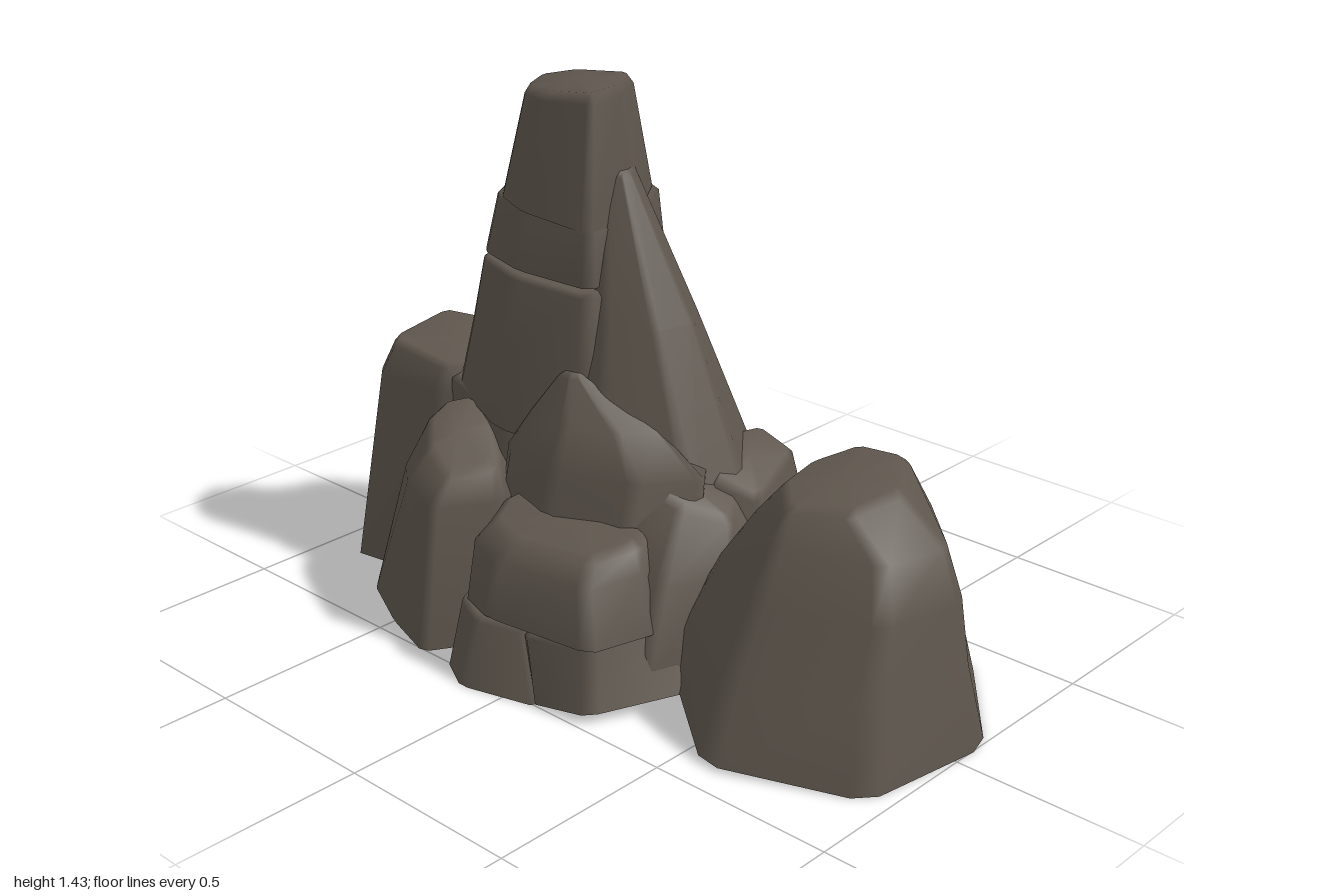
import * as THREE from 'three';

const stone = new THREE.MeshStandardMaterial({ color: 0x5e564d });
stone.name = 'brownGreyStone';

const centre = (pts) => {
  const c = [0, 0, 0];
  pts.forEach((p) => p.forEach((v, k) => { c[k] += v / pts.length; }));
  return c;
};

// Shrink a ring towards its centre and lift it
const insetRing = (pts, f, lift) => {
  const c = centre(pts);
  return pts.map(([x, y, z]) => [c[0] + (x - c[0]) * f, y + lift, c[2] + (z - c[2]) * f]);
};

// Cut every corner of a ring so that the rock has worn edges
function chamfer(pts, f = 0.1) {
  const n = pts.length, out = [];
  pts.forEach((p, i) => {
    for (const q of [pts[(i + n - 1) % n], pts[(i + 1) % n]]) {
      out.push(p.map((v, k) => v + (q[k] - v) * f));
    }
  });
  return out;
}

// Loft a rock through rings [y, tiltX, tiltZ, [[x, z], ...]], listed left, back, right, front.
// A crown of the given height closes the top; no ring goes below the ground.
function rock(name, rings, crown = 0.025, inset = 0.86) {
  const loops = rings.map(([y, tx, tz, pts]) => {
    const c = centre(pts);
    return chamfer(pts.map(([x, z]) => [
      x, Math.max(0, y + tx * (x - c[0]) + tz * (z - c[1])), z]));
  });
  loops.unshift(insetRing(loops[0], 0.95, 0));
  loops.push(insetRing(loops[loops.length - 1], inset, crown));

  const n = loops[0].length, pos = [], index = [];
  loops.forEach((l) => l.forEach((p) => pos.push(...p)));
  for (let r = 0; r < loops.length - 1; r++) {
    for (let i = 0; i < n; i++) {
      const a = r * n + i, b = r * n + (i + 1) % n;
      index.push(a, a + n, b, b, a + n, b + n);
    }
  }
  const low = pos.length / 3, high = low + 1, last = (loops.length - 1) * n;
  pos.push(...centre(loops[0]), ...centre(loops[loops.length - 1]));
  for (let i = 0; i < n; i++) {
    const j = (i + 1) % n;
    index.push(low, i, j, high, last + j, last + i);
  }
  const geo = new THREE.BufferGeometry();
  geo.setAttribute('position', new THREE.Float32BufferAttribute(pos, 3));
  geo.setIndex(index);
  geo.computeVertexNormals();
  const mesh = new THREE.Mesh(geo, stone);
  mesh.name = name;
  return mesh;
}

export function createModel() {
  const g = new THREE.Group();
  g.name = 'rockFormation';
  g.add(
    // Stacked tower
    rock('towerBase', [
      [0.015, 0, 0, [[-0.68, -0.24], [-0.57, -0.51], [-0.15, -0.56], [-0.02, -0.32], [0, 0.1], [-0.3, 0.25], [-0.66, 0.12]]],
      [0.2, 0, 0, [[-0.67, -0.22], [-0.56, -0.47], [-0.16, -0.52], [-0.05, -0.31], [-0.02, 0.1], [-0.3, 0.24], [-0.65, 0.12]]],
      [0.55, -0.12, 0, [[-0.66, -0.14], [-0.53, -0.36], [-0.19, -0.42], [-0.08, -0.27], [-0.05, 0.1], [-0.3, 0.21], [-0.62, 0.13]]],
    ], 0.015, 0.92),
    rock('towerLower', [
      [0.54, -0.1, 0, [[-0.67, -0.1], [-0.55, -0.34], [-0.19, -0.42], [-0.07, -0.18], [-0.07, 0.16], [-0.33, 0.22], [-0.58, 0.13]]],
      [0.75, 0, 0, [[-0.63, -0.1], [-0.51, -0.3], [-0.2, -0.355], [-0.08, -0.16], [-0.08, 0.14], [-0.33, 0.18], [-0.54, 0.11]]],
      [0.925, -0.04, 0, [[-0.585, -0.1], [-0.48, -0.27], [-0.21, -0.31], [-0.08, -0.14], [-0.09, 0.12], [-0.33, 0.15], [-0.5, 0.1]]],
    ], 0.012, 0.93),
    rock('towerMiddle', [
      [0.945, -0.04, 0, [[-0.59, -0.09], [-0.48, -0.25], [-0.21, -0.3], [-0.1, -0.13], [-0.105, 0.1], [-0.33, 0.13], [-0.5, 0.09]]],
      [1.1, -0.08, -0.06, [[-0.54, -0.08], [-0.46, -0.22], [-0.21, -0.275], [-0.11, -0.12], [-0.11, 0.09], [-0.33, 0.105], [-0.47, 0.07]]],
    ], 0.015, 0.92),
    rock('towerTop', [
      [1.11, -0.1, -0.1, [[-0.505, -0.07], [-0.42, -0.2], [-0.21, -0.25], [-0.11, -0.09], [-0.115, 0.09], [-0.33, 0.11], [-0.44, 0.08]]],
      [1.39, 0.05, -0.06, [[-0.435, -0.06], [-0.38, -0.14], [-0.21, -0.18], [-0.14, -0.06], [-0.15, 0.04], [-0.29, 0.07], [-0.39, 0.04]]],
    ], 0.025, 0.88),

    // Tall splinter leaning on the tower
    rock('leaningSpike', [
      [0.47, -0.25, 0, [[-0.25, -0.1], [-0.12, -0.3], [0.16, -0.27], [0.28, -0.09], [0.22, 0.06], [0.0, 0.18], [-0.2, 0.18]]],
      [0.85, 0, 0, [[-0.2, -0.06], [-0.14, -0.17], [0.02, -0.17], [0.085, -0.08], [0.06, 0.03], [-0.06, 0.09], [-0.18, 0.08]]],
      [1.215, -0.5, 0, [[-0.19, -0.05], [-0.17, -0.1], [-0.13, -0.1], [-0.105, -0.06], [-0.11, -0.03], [-0.14, -0.01], [-0.18, -0.02]]],
    ], 0.015, 0.7),

    // Core rocks filling the middle
    rock('centreBoulder', [
      [0.14, 0, 0, [[-0.36, 0], [-0.2, -0.15], [0.15, -0.15], [0.25, 0.1], [0.15, 0.3], [-0.1, 0.34], [-0.32, 0.28]]],
      [0.51, 0, 0, [[-0.32, 0.12], [-0.2, -0.1], [0.14, -0.08], [0.25, 0.06], [0.14, 0.19], [-0.06, 0.28], [-0.28, 0.23]]],
      [0.61, 0, 0, [[-0.25, 0.14], [-0.18, 0], [-0.02, 0], [0.11, 0.07], [0.05, 0.16], [-0.08, 0.22], [-0.22, 0.2]]],
      [0.715, 0, 0, [[-0.16, 0.15], [-0.14, 0.12], [-0.11, 0.12], [-0.08, 0.13], [-0.09, 0.15], [-0.11, 0.17], [-0.15, 0.17]]],
    ], 0.015, 0.5),
    rock('backSlab', [
      [0.06, 0.08, 0, [[-0.15, -0.1], [-0.12, -0.405], [0.4, -0.4], [0.45, -0.1], [0.2, 0.1]]],
      [0.26, -0.2, 0, [[-0.15, -0.1], [-0.12, -0.39], [0.38, -0.38], [0.42, -0.1], [0.2, 0.1]]],
      [0.46, -0.2, 0.2, [[-0.12, -0.05], [-0.1, -0.28], [0.18, -0.26], [0.27, -0.08], [0.12, 0.05]]],
    ]),
    rock('backWedge', [
      [0.32, 0, 0, [[0.03, -0.1], [0.05, -0.32], [0.26, -0.35], [0.36, -0.05], [0.2, 0.06]]],
      [0.48, -0.5, 0, [[0.13, -0.14], [0.15, -0.28], [0.24, -0.31], [0.32, -0.07], [0.22, 0]]],
    ], 0.02, 0.85),
    rock('rightWedge', [
      [0.08, 0, 0, [[0.05, 0.1], [0.12, -0.15], [0.4, -0.12], [0.39, 0.12], [0.29, 0.33], [0.12, 0.3]]],
      [0.32, -0.25, 0, [[0.05, 0.1], [0.12, -0.1], [0.39, -0.08], [0.37, 0.08], [0.28, 0.25], [0.12, 0.26]]],
      [0.46, -0.5, 0, [[0.1, 0.08], [0.14, -0.03], [0.28, -0.05], [0.32, 0.03], [0.23, 0.13], [0.12, 0.17]]],
    ]),

    // Large boulder on the left side of the model
    rock('largeBoulder', [
      [0.01, -0.11, 0, [[0.3, -0.02], [0.36, -0.38], [0.75, -0.42], [1.01, -0.1], [0.95, 0.28], [0.58, 0.435], [0.3, 0.22]]],
      [0.19, 0, 0, [[0.285, -0.02], [0.37, -0.33], [0.74, -0.36], [0.96, -0.09], [0.91, 0.22], [0.58, 0.355], [0.285, 0.19]]],
      [0.37, 0, 0, [[0.355, -0.03], [0.43, -0.27], [0.72, -0.3], [0.94, -0.08], [0.89, 0.16], [0.59, 0.27], [0.355, 0.13]]],
      [0.5, 0, 0, [[0.435, -0.03], [0.49, -0.225], [0.71, -0.25], [0.895, -0.07], [0.85, 0.12], [0.59, 0.205], [0.435, 0.09]]],
      [0.59, -0.02, -0.13, [[0.495, -0.04], [0.55, -0.18], [0.68, -0.205], [0.77, -0.06], [0.73, 0.09], [0.59, 0.165], [0.5, 0.07]]],
    ], 0.02, 0.85),

    // Upright block on the other side
    rock('sideBlock', [
      [0, 0, 0, [[-1.01, -0.21], [-0.82, -0.32], [-0.64, -0.29], [-0.57, 0.15], [-0.62, 0.21], [-0.91, 0.255]]],
      [0.54, 0, 0, [[-0.92, -0.13], [-0.8, -0.2], [-0.62, -0.19], [-0.56, 0.11], [-0.61, 0.16], [-0.86, 0.18]]],
      [0.61, -0.12, 0, [[-0.88, -0.1], [-0.79, -0.15], [-0.62, -0.15], [-0.56, 0.09], [-0.61, 0.14], [-0.83, 0.15]]],
    ], 0.02, 0.9),

    // Pointed rock at the front corner
    rock('frontPointedRock', [
      [0, 0, 0, [[-0.75, 0.2], [-0.6, 0.02], [-0.3, 0.05], [-0.23, 0.36], [-0.32, 0.51], [-0.5, 0.45], [-0.7, 0.35]]],
      [0.39, 0, 0, [[-0.6, 0.2], [-0.54, 0.06], [-0.3, 0.08], [-0.22, 0.31], [-0.32, 0.46], [-0.48, 0.4], [-0.59, 0.31]]],
      [0.495, -0.3, -0.25, [[-0.54, 0.21], [-0.5, 0.14], [-0.38, 0.16], [-0.28, 0.27], [-0.34, 0.39], [-0.45, 0.36], [-0.53, 0.28]]],
    ], 0.02, 0.75),

    // Stacked slabs at the front
    rock('frontUpperSlab', [
      [0.185, 0, 0, [[-0.26, 0.3], [-0.15, 0.1], [0.2, 0.1], [0.29, 0.27], [0.24, 0.46], [-0.08, 0.5], [-0.2, 0.46]]],
      [0.33, 0, 0, [[-0.26, 0.29], [-0.15, 0.1], [0.19, 0.1], [0.24, 0.26], [0.2, 0.43], [-0.08, 0.47], [-0.2, 0.43]]],
      [0.38, -0.02, -0.1, [[-0.24, 0.27], [-0.15, 0.1], [0.15, 0.1], [0.21, 0.25], [0.17, 0.38], [-0.07, 0.43], [-0.18, 0.39]]],
    ], 0.02),
    rock('frontLowerSlab', [
      [0, 0, 0, [[-0.27, 0.35], [-0.2, 0.12], [0.08, 0.12], [0.1, 0.5], [-0.12, 0.56], [-0.23, 0.5]]],
      [0.165, -0.03, 0, [[-0.26, 0.33], [-0.2, 0.12], [0, 0.12], [0.02, 0.47], [-0.11, 0.51], [-0.22, 0.46]]],
    ], 0.015, 0.92),
    rock('frontRightSlab', [
      [0.02, 0.1, 0, [[0.06, 0.3], [0.1, 0.1], [0.32, 0.06], [0.375, 0.22], [0.25, 0.48], [0.08, 0.51]]],
      [0.17, 0.1, 0, [[0, 0.3], [0.05, 0.1], [0.24, 0.06], [0.29, 0.21], [0.23, 0.45], [0.02, 0.48]]],
    ], 0.015, 0.92),
  );
  return g;
}
